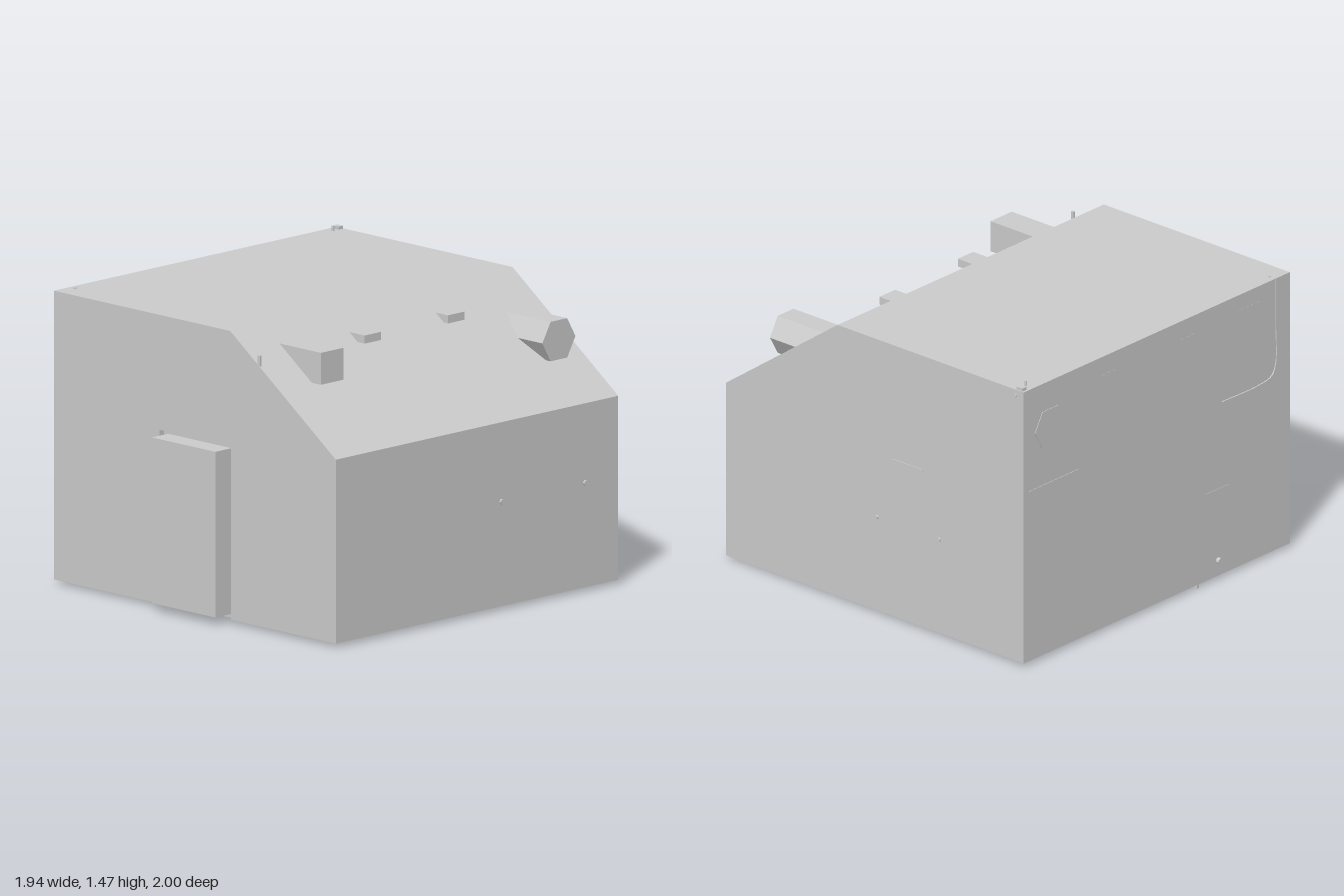
import * as THREE from 'three';

const material = new THREE.MeshStandardMaterial({ color: 0xcccccc, flatShading: true });
const LEFT = 0.957, RIGHT = -0.957, BACK = -0.99, FRONT = 0.92, BASE = 0.02, TOP = 1.44;

export function createModel() {
  const group = new THREE.Group();

  function add(name, geometry, x = 0, y = 0, z = 0) {
    const mesh = new THREE.Mesh(geometry, material);
    mesh.name = name;
    mesh.position.set(x, y, z);
    group.add(mesh);
    return mesh;
  }
  // Box given by its limits on each axis
  function block(name, [x0, x1], [y0, y1], [z0, z1]) {
    return add(name, new THREE.BoxGeometry(x1 - x0, y1 - y0, z1 - z0),
      (x0 + x1) / 2, (y0 + y1) / 2, (z0 + z1) / 2);
  }
  // Short rod along one axis
  function peg(name, axis, radius, length, x, y, z) {
    const g = new THREE.CylinderGeometry(radius, radius, length, 10);
    if (axis === 'x') g.rotateZ(Math.PI / 2);
    if (axis === 'z') g.rotateX(Math.PI / 2);
    return add(name, g, x, y, z);
  }

  // House body: sloped profile, with a shallow doorway cut in the front layer
  function wallShape(doorway) {
    const points = [[RIGHT, BASE]];
    if (doorway) points.push([-0.24, BASE], [-0.24, 0.875], [0.245, 0.875], [0.245, BASE]);
    points.push([LEFT, BASE], [LEFT, 0.925], [0.24, TOP], [RIGHT, TOP]);
    return new THREE.Shape(points.map(p => new THREE.Vector2(...p)));
  }
  const recess = 0.03;
  add('body', new THREE.ExtrudeGeometry(wallShape(false),
    { depth: FRONT - recess - BACK, bevelEnabled: false }), 0, 0, BACK);
  add('frontWall', new THREE.ExtrudeGeometry(wallShape(true),
    { depth: recess, bevelEnabled: false }), 0, 0, FRONT - recess);
  block('door', [-0.21, 0.22], [0.04, 0.855], [FRONT - recess, 1.0]);

  // Ducts running through the body and out of the slope
  block('squareDuct', [-0.958, 0.632], [1.203, 1.36], [0.545, 0.697]);
  block('smallDuctFront', [-0.958, 0.475], [1.305, 1.345], [0.135, 0.245]);
  block('smallDuctBack', [-0.958, 0.455], [1.305, 1.345], [-0.45, -0.338]);
  const hexagon = new THREE.CylinderGeometry(0.112, 0.112, 1.705, 6);
  hexagon.rotateZ(Math.PI / 2);
  add('hexagonalDuct', hexagon, -0.1075, 1.197, -0.8);

  // Feet and floor strip
  for (const x of [0.485, 0.89]) {
    for (const z of [-0.92, 0]) peg('foot', 'y', 0.02, 0.02, x, 0.013, z);
  }
  block('floorStrip', [-0.955, -0.357], [0, 0.022], [0.255, 0.27]);

  // Wall fittings
  for (const z of [-0.2, -0.765]) peg('sideKnob', 'x', 0.013, 0.02, LEFT, 0.535, z);
  for (const x of [-0.015, -0.415]) peg('backKnob', 'z', 0.01, 0.02, x, 0.51, BACK);
  block('backRail', [-0.31, -0.12], [0.836, 0.844], [-0.994, -0.98]);
  block('sideRail', [-0.96, -0.95], [0.902, 0.91], [-0.95, -0.6]);
  block('sidePanel', [-0.959, -0.95], [0.36, 0.475], [0.31, 0.48]);
  peg('tap', 'x', 0.016, 0.03, -0.96, 0.1, 0.405);
  block('slopePost', [0.423, 0.44], [1.29, 1.35], [0.907, 0.919]);

  // Cable down the right wall, bending toward the back
  const cable = new THREE.CatmullRomCurve3([
    [1.44, 0.82], [1.2, 0.82], [1.0, 0.82], [0.94, 0.79], [0.92, 0.7], [0.92, 0.43],
  ].map(([y, z]) => new THREE.Vector3(RIGHT, y, z)));
  add('cable', new THREE.TubeGeometry(cable, 40, 0.004, 6));

  // Small fittings at the roof corners
  peg('cornerPin', 'y', 0.007, 0.03, -0.908, 1.45, -0.92);
  block('cornerBracket', [-0.945, -0.905], [1.435, 1.455], [-0.985, -0.955]);
  peg('cornerBolt', 'z', 0.009, 0.014, -0.905, 1.41, BACK);
  peg('roofBolt', 'y', 0.008, 0.01, -0.92, TOP, 0.815);

  return group;
}
